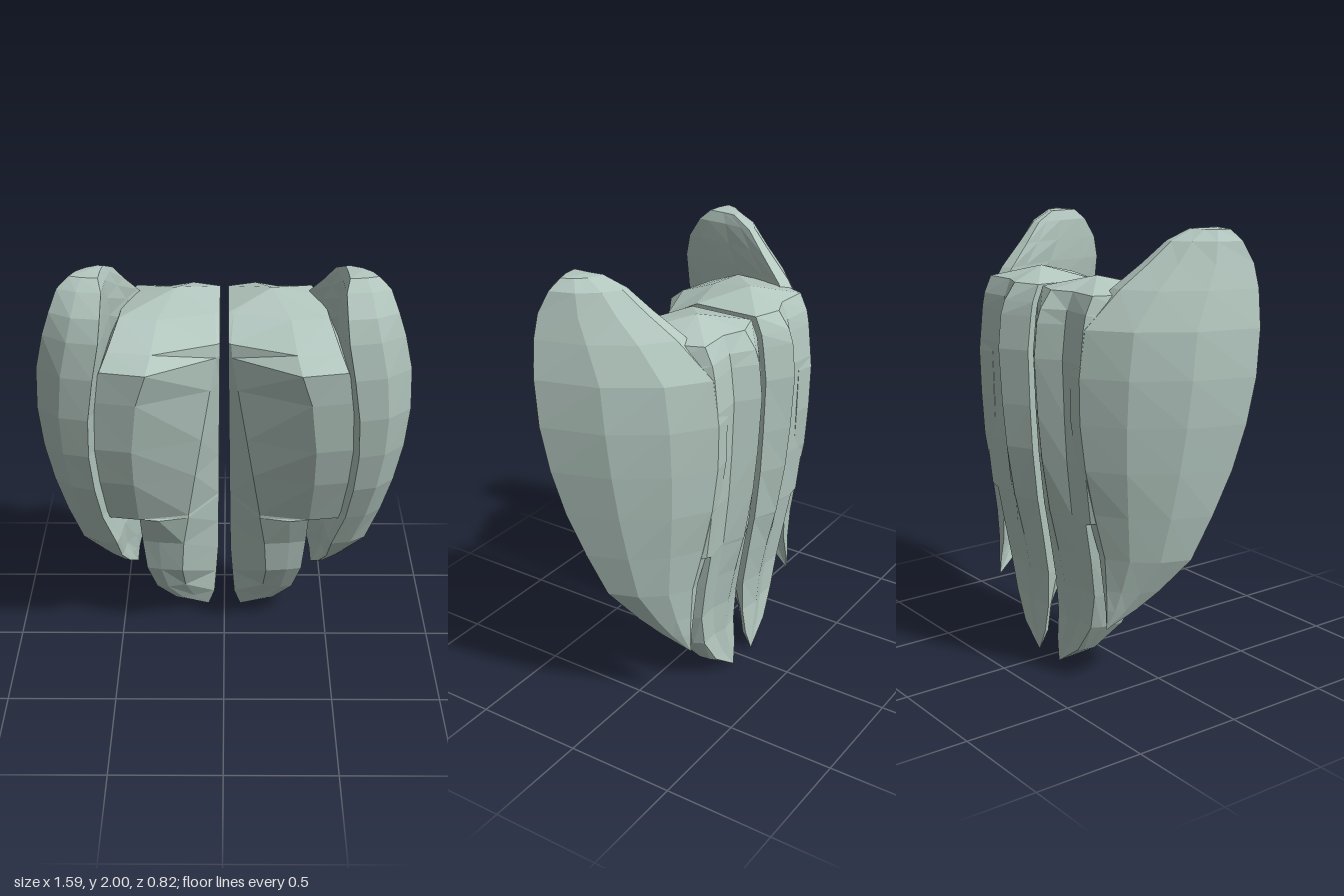
import * as THREE from 'three';

const lerp = THREE.MathUtils.lerp;

// Lofts closed loops (listed bottom to top) and closes both ends on a point.
function loft(loops, bottom, top, side) {
  const pos = [];
  const tri = (a, b, c) => {
    for (const p of side > 0 ? [a, b, c] : [a, c, b]) pos.push(p[0] * side, p[1], p[2]);
  };
  const n = loops[0].length;
  for (let i = 0; i < n; i++) {
    const j = (i + 1) % n;
    tri(loops[0][j], loops[0][i], bottom);
    for (let k = 0; k + 1 < loops.length; k++) {
      const lo = loops[k], hi = loops[k + 1];
      tri(lo[i], lo[j], hi[j]);
      tri(lo[i], hi[j], hi[i]);
    }
    const last = loops[loops.length - 1];
    tri(last[i], last[j], top);
  }
  const g = new THREE.BufferGeometry();
  g.setAttribute('position', new THREE.Float32BufferAttribute(pos, 3));
  g.computeVertexNormals(); // unshared corners give flat facets
  return g;
}

// Outer shell: a crescent section. Rows: y, inner x, front x, outer x, back z, front z
const SHELL = [
  [0.36, 0.42, 0.46, 0.50, -0.24, -0.11],
  [0.45, 0.40, 0.49, 0.565, -0.24, -0.02],
  [0.60, 0.38, 0.50, 0.66, -0.25, 0.10],
  [0.80, 0.34, 0.55, 0.715, -0.29, 0.19],
  [1.00, 0.32, 0.57, 0.755, -0.33, 0.28],
  [1.20, 0.30, 0.58, 0.785, -0.35, 0.34],
  [1.40, 0.30, 0.57, 0.797, -0.355, 0.385],
  [1.60, 0.31, 0.54, 0.785, -0.33, 0.41],
  [1.76, 0.38, 0.51, 0.748, -0.19, 0.405],
  [1.86, 0.43, 0.50, 0.715, -0.07, 0.38],
  [1.95, 0.47, 0.495, 0.68, 0.03, 0.32],
  [1.995, 0.50, 0.51, 0.63, 0.13, 0.27],
];

function shellLoop([y, xi, xf, xo, zb, zf]) {
  const x = u => lerp(xi, xo, u), z = v => lerp(zb, zf, v);
  return [
    [xf, z(1)], [lerp(xf, xo, 0.55), z(0.96)], [xo, z(0.83)],
    [x(0.83), z(0.46)], [x(0.53), z(0.17)], [x(0.18), z(0)], [xi, z(0.02)],
    [lerp(xi, xf, 0.35), z(0.2)], [lerp(xi, xf, 0.8), z(0.5)], [lerp(xi, xf, 0.9), z(0.85)],
  ].map(([a, b]) => [a, y, b]);
}

// Inner lobe. Rows: y, inner x, ridge x, outer x, inner z, ridge z, front z, back z
const LOBE = [
  [0.10, 0.05, 0.15, 0.24, -0.22, -0.18, -0.16, -0.245],
  [0.23, 0.04, 0.19, 0.33, -0.21, -0.09, -0.07, -0.24],
  [0.39, 0.03, 0.20, 0.37, -0.18, 0.02, 0.01, -0.255],
  [0.57, 0.028, 0.19, 0.385, -0.14, 0.06, 0.05, -0.29],
  [0.74, 0.026, 0.165, 0.39, -0.10, 0.10, 0.13, -0.33],
  [0.755, 0.026, 0.165, 0.54, -0.10, 0.10, 0.14, -0.335],
  [1.00, 0.024, 0.13, 0.58, -0.03, 0.16, 0.24, -0.375],
  [1.20, 0.022, 0.10, 0.60, 0.04, 0.19, 0.30, -0.395],
  [1.45, 0.02, 0.06, 0.58, 0.12, 0.20, 0.345, -0.41],
  [1.60, 0.018, 0.035, 0.52, 0.17, 0.19, 0.37, -0.395],
  [1.66, 0.018, 0.03, 0.49, 0.17, 0.18, 0.29, -0.375],
  [1.735, 0.018, 0.04, 0.45, 0.02, 0.03, 0.10, -0.32],
];

function lobeLoop([y, xi, xr, xo, zi, zr, zf, zb]) {
  const d = zf - zb;
  return [
    [xi, zi], [xr, zr], [lerp(xr, xo, 0.6), zf], [xo, zf - d * 0.05],
    [xo * 0.97, zb + d * 0.35], [Math.min(0.39, xo * 0.9), zb + d * 0.08],
    [Math.min(0.24, xo * 0.62), zb + d * 0.1], [Math.min(0.14, xo * 0.42), zb],
    [xi, zb + d * 0.1],
  ].map(([a, b]) => [a, y, b]);
}

export function createModel() {
  const model = new THREE.Group();
  model.name = 'foldedShellPair';
  const paleGreen = new THREE.MeshStandardMaterial({ color: 0xb4c8c0 });
  paleGreen.name = 'paleGreyGreen';

  for (const side of [1, -1]) {
    const label = side > 0 ? 'left' : 'right';
    const half = new THREE.Group();
    half.name = label + 'Half';

    const shell = new THREE.Mesh(
      loft(SHELL.map(shellLoop), [0.43, 0.27, -0.24], [0.56, 2, 0.2], side), paleGreen);
    shell.name = label + 'OuterShell';

    const lobe = new THREE.Mesh(
      loft(LOBE.map(lobeLoop), [0.08, 0, -0.25], [0.21, 1.79, -0.13], side), paleGreen);
    lobe.name = label + 'InnerLobe';

    half.add(shell, lobe);
    model.add(half);
  }
  return model;
}
